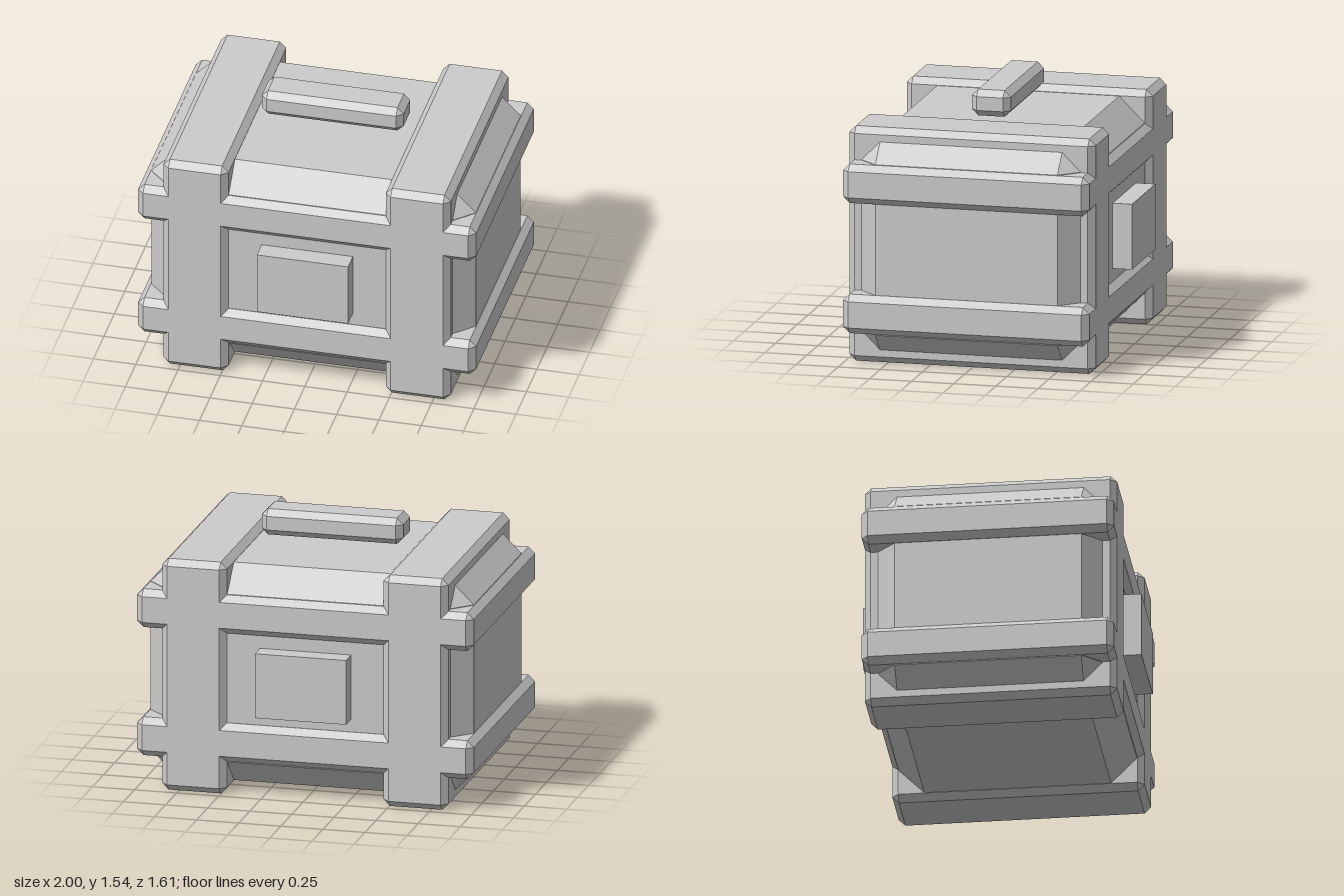
import * as THREE from 'three';
import { ConvexGeometry } from 'three/addons/geometries/ConvexGeometry.js';

const material = new THREE.MeshStandardMaterial({ color: 0xcccccc, flatShading: true });

// Box with every edge cut at 45 degrees and triangular corners
function chamferedBox(width, height, depth, c) {
  const [x, y, z] = [width / 2, height / 2, depth / 2];
  const points = [];
  for (const sx of [-1, 1]) for (const sy of [-1, 1]) for (const sz of [-1, 1]) {
    points.push(
      new THREE.Vector3(sx * x, sy * (y - c), sz * (z - c)),
      new THREE.Vector3(sx * (x - c), sy * y, sz * (z - c)),
      new THREE.Vector3(sx * (x - c), sy * (y - c), sz * z)
    );
  }
  return new ConvexGeometry(points);
}

export function createModel() {
  const group = new THREE.Group();
  const add = (name, geometry, x, y, z) => {
    const mesh = new THREE.Mesh(geometry, material);
    mesh.name = name;
    mesh.position.set(x, y, z);
    group.add(mesh);
  };

  // Main body with broad chamfers
  add('body', chamferedBox(1.92, 1.305, 1.38, 0.15), 0, 0.6925, 0);

  // Upright bands near both ends
  const upright = chamferedBox(0.385, 1.385, 1.46, 0.038);
  add('leftUprightBand', upright, 0.6575, 0.6925, 0);
  add('rightUprightBand', upright, -0.6575, 0.6925, 0);

  // Level bands around the body
  const level = chamferedBox(2, 0.23, 1.46, 0.038);
  add('lowerBand', level, 0, 0.31, 0);
  add('upperBand', level, 0, 1.077, 0);

  // Raised plates on front and back
  const plate = new THREE.BoxGeometry(0.54, 0.385, 0.2);
  add('frontPlate', plate, 0, 0.693, 0.705);
  add('backPlate', plate, 0, 0.693, -0.705);

  // Handle bar above the lid
  add('handle', chamferedBox(0.84, 0.155, 0.23, 0.037), 0, 1.4625, 0);

  return group;
}
